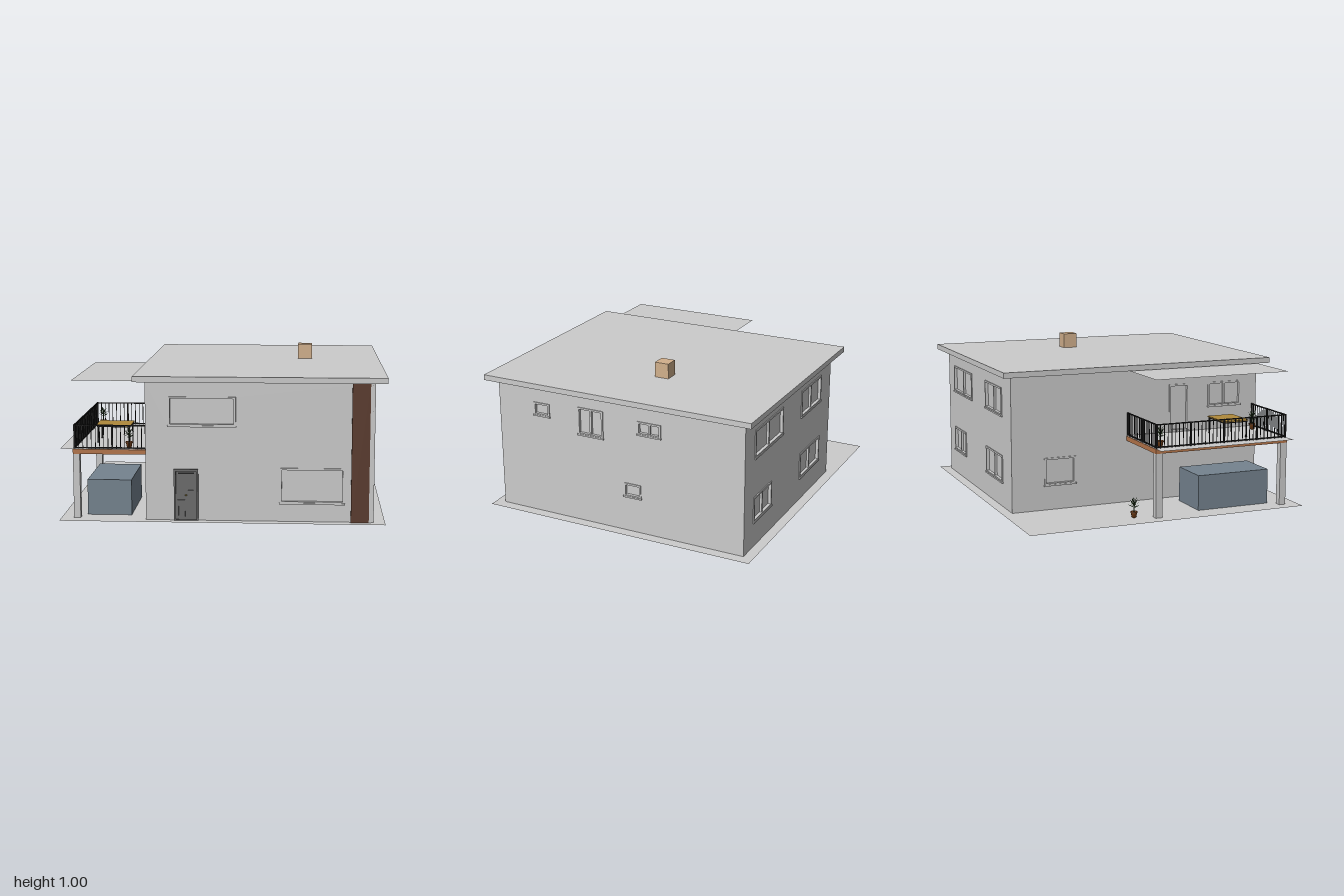
import * as THREE from 'three';

const mat = (color, extra = {}) => new THREE.MeshStandardMaterial({ color, ...extra });
const grey = mat(0xcccccc), sheet = mat(0xcccccc, { side: THREE.DoubleSide });
const brown = mat(0x5a3a2c), wood = mat(0xb5754a), tan = mat(0xd2b08c), black = mat(0x1c1c1c);
const doorGrey = mat(0x6c6c6c), blue = mat(0x75838f), brass = mat(0xb09a50), tableWood = mat(0xb08a3c);
const clay = mat(0x7a4218), leafGreen = mat(0x26401c, { side: THREE.DoubleSide });

function mesh(parent, name, geo, material, x = 0, y = 0, z = 0) {
  const m = new THREE.Mesh(geo, material);
  m.name = name;
  m.position.set(x, y, z);
  parent.add(m);
  return m;
}

// Box given by its minimum and maximum on each axis
function box(parent, name, x0, x1, y0, y1, z0, z1, material = grey) {
  return mesh(parent, name, new THREE.BoxGeometry(x1 - x0, y1 - y0, z1 - z0), material,
    (x0 + x1) / 2, (y0 + y1) / 2, (z0 + z1) / 2);
}

// Flat horizontal sheet
function flat(parent, name, x0, x1, z0, z1, y) {
  const m = mesh(parent, name, new THREE.PlaneGeometry(x1 - x0, z1 - z0), sheet, (x0 + x1) / 2, y, (z0 + z1) / 2);
  m.rotation.x = -Math.PI / 2;
}

const corners = (u0, u1, v0, v1) => [[u0, v0], [u1, v0], [u1, v1], [u0, v1]].map(p => new THREE.Vector2(...p));

// Upright slab with rectangular holes, from local z0 to z1
function slab(parent, name, rect, holes, z0, z1, material = grey) {
  const shape = new THREE.Shape(corners(...rect));
  holes.forEach(h => shape.holes.push(new THREE.Path(corners(...h))));
  return mesh(parent, name, new THREE.ExtrudeGeometry(shape, { depth: z1 - z0, bevelEnabled: false }), material, 0, 0, z0);
}

// Wall facing local +z at distance d, with framed windows [u0, u1, v0, v1, panes]
function facade(parent, name, angle, d, u0, u1, windows) {
  const g = new THREE.Group();
  g.name = name;
  g.rotation.y = angle;
  parent.add(g);
  slab(g, 'wall', [u0, u1, 0, 0.865], windows.map(w => w.slice(0, 4)), d - 0.03, d);
  for (const [a, b, c, e, panes = 1] of windows) {
    const f = 0.012;
    slab(g, 'windowFrame', [a, b, c, e], [[a + f, b - f, c + f, e - f]], d - 0.025, d + 0.006);
    box(g, 'windowPane', a, b, c, e, d - 0.022, d - 0.014);
    for (let i = 1; i < panes; i++) {
      const u = a + (b - a) * i / panes;
      box(g, 'mullion', u - 0.007, u + 0.007, c + f, e - f, d - 0.014, d);
    }
    box(g, 'windowSill', a - 0.004, b + 0.004, c - 0.006, c + 0.004, d - 0.01, d + 0.01);
  }
  return g;
}

// Potted plant with arching leaves
function plant(parent, name, x, y, z) {
  const g = new THREE.Group();
  g.name = name;
  g.position.set(x, y, z);
  parent.add(g);
  const pot = [[0, 0], [0.014, 0], [0.02, 0.03], [0.023, 0.03], [0.023, 0.037], [0.019, 0.037], [0.018, 0.032], [0, 0.032]];
  mesh(g, 'pot', new THREE.LatheGeometry(pot.map(p => new THREE.Vector2(...p)), 12), clay);
  mesh(g, 'stem', new THREE.CylinderGeometry(0.003, 0.004, 0.06, 6), leafGreen, 0, 0.06, 0);
  const leafShape = new THREE.Shape();
  leafShape.moveTo(0, 0);
  leafShape.quadraticCurveTo(0.012, 0.02, 0, 0.042);
  leafShape.quadraticCurveTo(-0.012, 0.02, 0, 0);
  const leafGeo = new THREE.ShapeGeometry(leafShape, 4);
  for (let i = 0; i < 14; i++) {
    const leaf = mesh(g, 'leaf', leafGeo, leafGreen, 0, 0.06 + 0.032 * i / 13, 0);
    leaf.rotation.set(1.25 - 0.75 * i / 13, i * 2.4, 0, 'YXZ');
  }
}

// Railing run between two points on the deck
function railing(parent, x0, z0, x1, z1, y0, y1) {
  const g = new THREE.Group();
  g.name = 'railing';
  parent.add(g);
  const len = Math.hypot(x1 - x0, z1 - z0), n = Math.round(len / 0.026);
  for (const y of [y0 + 0.012, y1]) {
    const bar = mesh(g, 'rail', new THREE.BoxGeometry(len, 0.007, 0.008), black, (x0 + x1) / 2, y - 0.004, (z0 + z1) / 2);
    bar.rotation.y = -Math.atan2(z1 - z0, x1 - x0);
  }
  for (let i = 0; i <= n; i++) {
    const r = i % 9 === 0 || i === n ? 0.005 : 0.002, t = i / n;
    mesh(g, 'baluster', new THREE.BoxGeometry(r * 2, y1 - y0, r * 2), black,
      x0 + (x1 - x0) * t, (y0 + y1) / 2, z0 + (z1 - z0) * t);
  }
}

export function createModel() {
  const house = new THREE.Group();
  house.name = 'house';
  flat(house, 'ground', -1, 1, -0.92, 0.92, 0.001);

  // Four walls
  const front = facade(house, 'frontFacade', 0, 0.858, -0.47, 0.93, [
    [-0.33, 0.085, 0.59, 0.77], [0.355, 0.75, 0.115, 0.335]]);
  facade(house, 'leftFacade', Math.PI / 2, 0.93, -0.828, 0.825, [
    [-0.6, -0.485, 0.665, 0.75], [-0.28, -0.1, 0.59, 0.77, 2],
    [0.14, 0.3, 0.665, 0.75, 2], [0.04, 0.16, 0.235, 0.325]]);
  facade(house, 'backFacade', Math.PI, 0.855, -0.93, 0.47, [
    [-0.79, -0.36, 0.59, 0.77, 2], [-0.053, 0.292, 0.59, 0.77, 2],
    [-0.796, -0.522, 0.17, 0.335, 2], [-0.053, 0.292, 0.16, 0.335, 2]]);
  facade(house, 'rightFacade', -Math.PI / 2, 0.47, -0.825, 0.828, [
    [-0.64, -0.43, 0.16, 0.335], [0.22, 0.36, 0.44, 0.75], [0.5, 0.74, 0.59, 0.75, 2]]);
  box(house, 'frontPanel', 0.79, 0.9, 0, 0.865, 0.855, 0.87, brown);
  box(house, 'cornerTrim', 0.9, 0.915, 0, 0.865, 0.855, 0.866);

  // Front door
  const door = new THREE.Group();
  door.name = 'frontDoor';
  front.add(door);
  slab(door, 'doorFrame', [-0.295, -0.145, 0, 0.322], [[-0.283, -0.157, 0.006, 0.31]], 0.855, 0.872, doorGrey);
  box(door, 'doorLeaf', -0.285, -0.155, 0, 0.312, 0.855, 0.862, doorGrey);
  box(door, 'doorBar', -0.27, -0.17, 0.294, 0.302, 0.86, 0.868, black);
  for (const [v0, v1] of [[0.025, 0.13], [0.185, 0.28]])
    for (const u of [-0.272, -0.214])
      slab(door, 'doorPanel', [u, u + 0.046, v0, v1], [[u + 0.006, u + 0.04, v0 + 0.006, v1 - 0.006]], 0.86, 0.867, doorGrey);
  mesh(door, 'doorKnob', new THREE.SphereGeometry(0.006, 10, 8), brass, -0.22, 0.16, 0.87);

  // Roof and chimney
  box(house, 'roof', -0.54, 1, 0.865, 0.9, -0.92, 0.92);
  box(house, 'chimney', 0.458, 0.55, 0.9, 0.997, -0.155, -0.062, tan);
  flat(house, 'awning', -0.925, -0.47, -0.08, 0.84, 0.862);

  // Balcony on two columns
  const balcony = new THREE.Group();
  balcony.name = 'balcony';
  house.add(balcony);
  box(balcony, 'deck', -0.922, -0.47, 0.405, 0.435, -0.08, 0.84, wood);
  flat(balcony, 'deckCovering', -1, -0.47, -0.08, 0.84, 0.437);
  for (const z of [-0.055, 0.815]) box(balcony, 'column', -0.922, -0.88, 0, 0.405, z - 0.022, z + 0.022);
  railing(balcony, -0.47, -0.07, -0.912, -0.07, 0.436, 0.588);
  railing(balcony, -0.912, -0.07, -0.912, 0.83, 0.436, 0.588);
  railing(balcony, -0.912, 0.83, -0.47, 0.83, 0.436, 0.588);

  // Table
  const table = new THREE.Group();
  table.name = 'table';
  balcony.add(table);
  box(table, 'tableTop', -0.81, -0.59, 0.543, 0.55, 0.44, 0.62, tableWood);
  box(table, 'tableApron', -0.805, -0.595, 0.535, 0.543, 0.445, 0.615, black);
  for (const x of [-0.804, -0.604])
    for (const z of [0.446, 0.606]) box(table, 'tableLeg', x, x + 0.008, 0.437, 0.543, z, z + 0.008, black);

  // Storage box under the deck, and plants
  box(house, 'storageBox', -0.85, -0.573, 0.001, 0.225, 0.25, 0.745, blue);
  plant(house, 'balconyPlant', -0.58, 0.437, 0.775);
  plant(house, 'balconyPlant', -0.865, 0.437, -0.025);
  plant(house, 'groundPlant', -0.845, 0.001, -0.19);
  return house;
}
